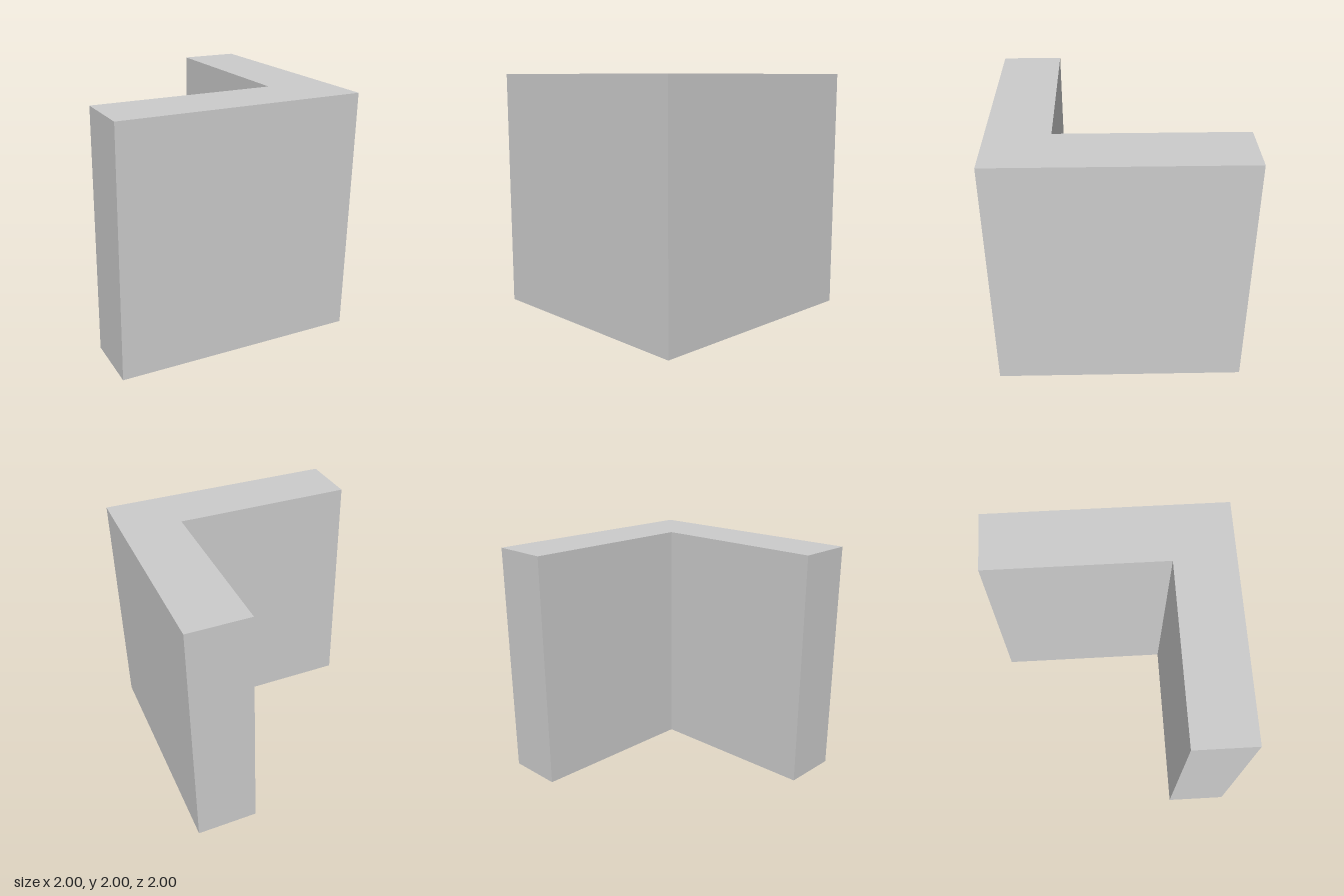
import * as THREE from 'three';

const SIZE = 2;        // height and outer length of both wings
const THICKNESS = 0.5; // wall thickness

export function createModel() {
  const group = new THREE.Group();
  group.name = 'cornerWall';

  // L-shaped plan; plan y becomes -z once the extrusion stands upright
  const h = SIZE / 2, inner = h - THICKNESS;
  const plan = new THREE.Shape([
    [-h, -h], [h, -h], [h, h], [inner, h], [inner, -inner], [-h, -inner],
  ].map(([x, y]) => new THREE.Vector2(x, y)));

  const geometry = new THREE.ExtrudeGeometry(plan, { depth: SIZE, bevelEnabled: false });
  geometry.rotateX(-Math.PI / 2);

  const wall = new THREE.Mesh(
    geometry,
    new THREE.MeshStandardMaterial({ color: 0xcccccc, flatShading: true }),
  );
  wall.name = 'wall';
  group.add(wall);
  return group;
}
